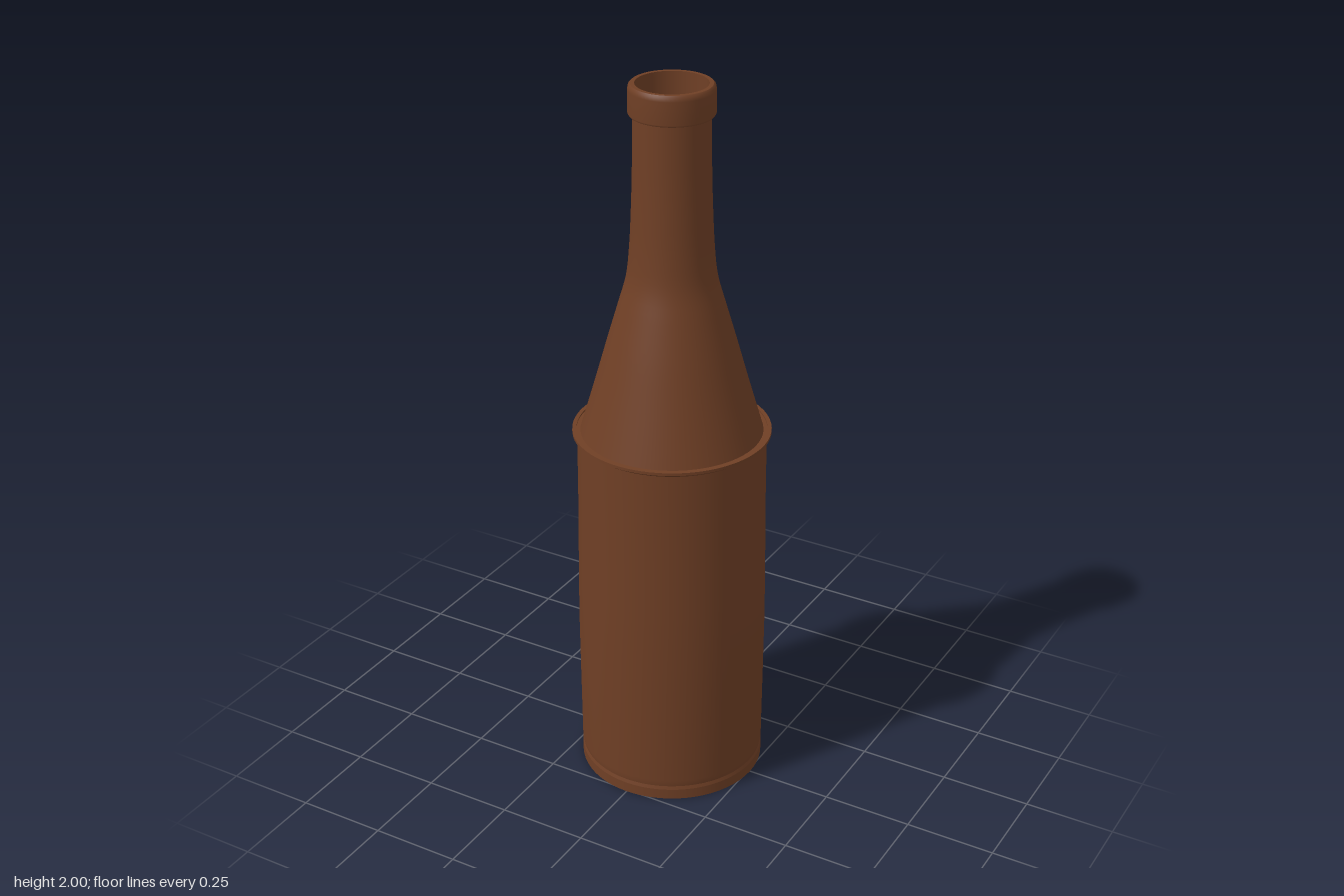
import * as THREE from 'three';

const SEGMENTS = 64;

export function createModel() {
  const glass = new THREE.MeshStandardMaterial({ color: 0x6f3f25 });
  glass.name = 'brown glass';
  const group = new THREE.Group();
  group.name = 'bottle';

  // Smooth surface of revolution from [radius, height] pairs
  function turn(name, profile, parent = group) {
    const points = profile.map(([r, y]) => new THREE.Vector2(r, y));
    const mesh = new THREE.Mesh(new THREE.LatheGeometry(points, SEGMENTS), glass);
    mesh.name = name;
    parent.add(mesh);
  }

  // One lathe per profile segment, so every corner stays sharp
  function turnSharp(name, profile) {
    const part = new THREE.Group();
    part.name = name;
    for (let i = 1; i < profile.length; i++) turn(name + 'Face' + i, [profile[i - 1], profile[i]], part);
    group.add(part);
  }

  // Recessed base and standing rim
  turnSharp('base', [[0, 0.04], [0.25, 0.04], [0.25, 0], [0.257, 0], [0.257, 0.03], [0.254, 0.04]]);

  // Slightly swollen body
  turn('body', [[0.254, 0.04], [0.257, 0.06], [0.259, 0.3], [0.26, 0.45], [0.259, 0.6], [0.256, 0.8], [0.255, 1.025]]);

  // Thin flange between body and shoulder
  turnSharp('flange', [[0.255, 1.025], [0.268, 1.034], [0.268, 1.042], [0.257, 1.042], [0.257, 1.038], [0.246, 1.038]]);

  // Sloping shoulder running into the neck
  const slope = new THREE.SplineCurve([
    [0.246, 1.038], [0.222, 1.12], [0.199, 1.2], [0.171, 1.3], [0.142, 1.4], [0.12, 1.48],
    [0.111, 1.56], [0.106, 1.65], [0.102, 1.77], [0.1, 1.92],
  ].map(([r, y]) => new THREE.Vector2(r, y)));
  turn('shoulderAndNeck', slope.getPoints(36).map(p => [p.x, p.y]));

  // Lip with softened edges and an inner step
  turnSharp('lipUnderside', [[0.1, 1.92], [0.109, 1.92]]);
  turn('lip', [[0.109, 1.92], [0.112, 1.925], [0.112, 1.985], [0.11, 1.995], [0.105, 2]]);
  turnSharp('mouth', [[0.105, 2], [0.094, 2], [0.094, 1.92], [0.09, 1.92]]);

  // Hollow inside and its floor
  turn('innerWall', [[0.09, 1.92], [0.09, 1.77], [0.1, 1.52], [0.13, 1.4], [0.235, 1.03], [0.245, 0.95], [0.245, 0.05]]);
  turn('innerFloor', [[0.245, 0.05], [0, 0.05]]);

  return group;
}
